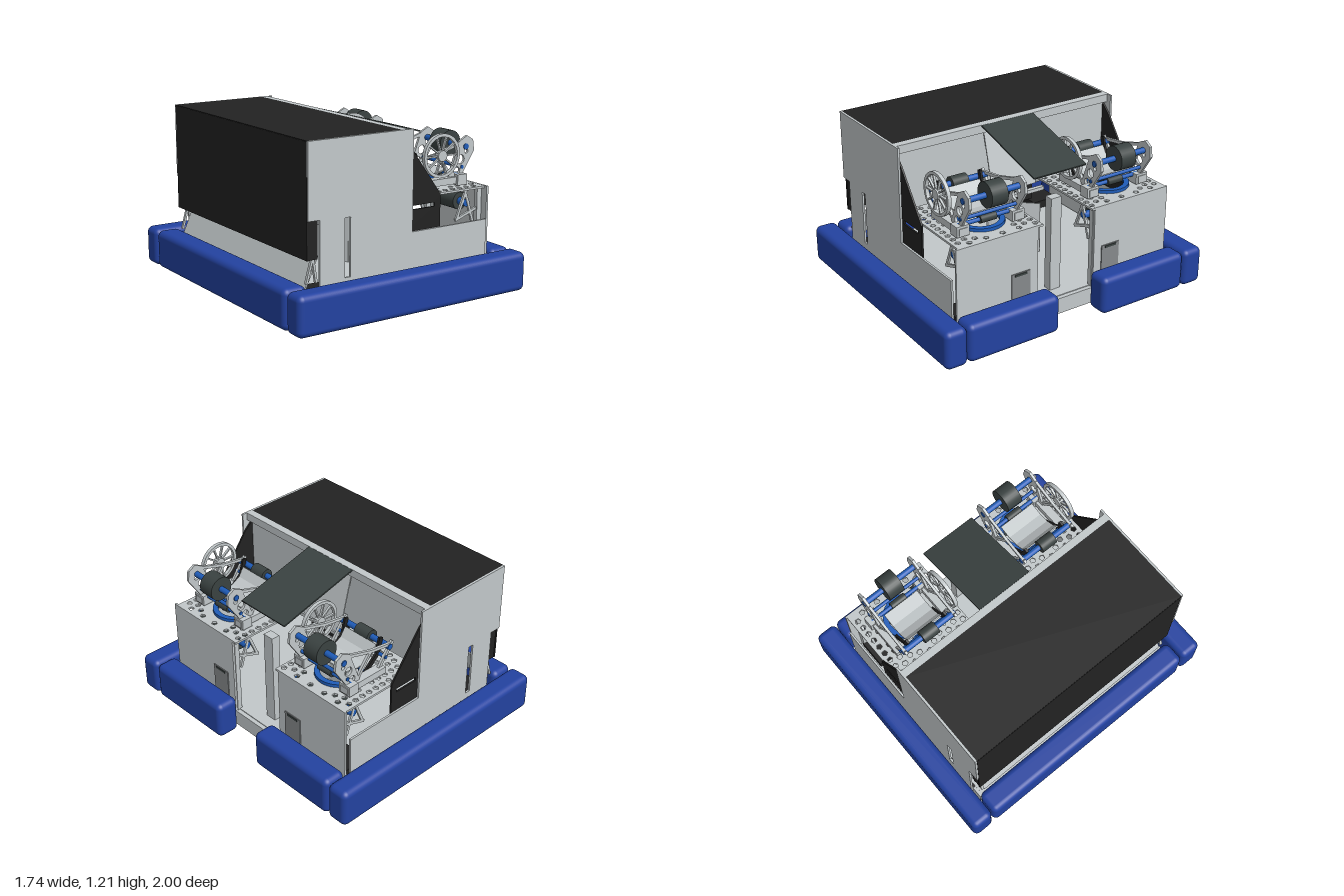
import * as THREE from 'three';
import { RoundedBoxGeometry } from 'three/addons/geometries/RoundedBoxGeometry.js';

const mat = (name, color, side = THREE.FrontSide) => {
  const m = new THREE.MeshStandardMaterial({ color, side });
  m.name = name;
  return m;
};

export function createModel() {
  const root = new THREE.Group();
  const blue = mat('bumper blue', 0x2342a0);
  const grey = mat('aluminium grey', 0xc2c8ca, THREE.DoubleSide);
  const black = mat('panel black', 0x222222, THREE.DoubleSide);
  const slate = mat('dark slate', 0x3a4241);
  const axleBlue = mat('axle blue', 0x1f5cb8);
  const windowGrey = mat('window grey', 0x85898b);

  const add = (name, geo, m, parent = root) => {
    const mesh = new THREE.Mesh(geo, m);
    mesh.name = name;
    parent.add(mesh);
    return mesh;
  };
  const box = (name, m, x0, x1, y0, y1, z0, z1, parent = root) =>
    add(name, new THREE.BoxGeometry(x1 - x0, y1 - y0, z1 - z0), m, parent)
      .position.set((x0 + x1) / 2, (y0 + y1) / 2, (z0 + z1) / 2);
  const bar = (name, m, a, b, w, z0, z1, parent = root) => {
    const dx = b[0] - a[0], dy = b[1] - a[1];
    const mesh = add(name, new THREE.BoxGeometry(Math.hypot(dx, dy), w, z1 - z0), m, parent);
    mesh.position.set((a[0] + b[0]) / 2, (a[1] + b[1]) / 2, (z0 + z1) / 2);
    mesh.rotation.z = Math.atan2(dy, dx);
  };
  const rod = (name, m, x, y, z, r, len, parent = root, seg = 28) => {
    const mesh = add(name, new THREE.CylinderGeometry(r, r, len, seg), m, parent);
    mesh.rotation.x = Math.PI / 2;
    mesh.position.set(x, y, z);
  };
  const poly = (pts) => new THREE.Shape(pts.map((p) => new THREE.Vector2(...p)));
  const circle = (x, y, r) => new THREE.Path().absarc(x, y, r, 0, Math.PI * 2, true);
  const slot = (x0, x1, y0, y1) => new THREE.Path(
    [[x0, y0], [x0, y1], [x1, y1], [x1, y0]].map((p) => new THREE.Vector2(...p)));
  // flat plate in the x-y plane, centred on z
  const plate = (name, m, shape, holes, z, t, parent = root) => {
    shape.holes.push(...holes);
    const geo = new THREE.ExtrudeGeometry(shape, { depth: t, bevelEnabled: false, curveSegments: 20 });
    const mesh = add(name, geo, m, parent);
    mesh.position.z = z - t / 2;
    return mesh;
  };

  // bumpers
  const bumper = (name, x0, x1, z0, z1) =>
    add(name, new RoundedBoxGeometry(x1 - x0, 0.26, z1 - z0, 4, 0.04), blue)
      .position.set((x0 + x1) / 2, 0.215, (z0 + z1) / 2);
  bumper('frontBumper', -0.87, 0.87, 0.845, 1);
  bumper('backBumper', -0.87, 0.87, -1, -0.845);
  bumper('rearBumper', -0.87, -0.705, -0.835, 0.835);
  bumper('intakeBumperLeft', 0.71, 0.87, 0.17, 0.84);
  bumper('intakeBumperRight', 0.71, 0.87, -0.84, -0.17);

  // chassis frame and floor
  box('floor', grey, -0.66, 0.66, 0.19, 0.205, -0.8, 0.8);
  box('rearRail', grey, -0.7, -0.62, 0.09, 0.2, -0.82, 0.82);
  box('intakeRail', grey, 0.63, 0.69, 0.09, 0.2, -0.82, 0.82);
  for (const z of [-0.25, 0.25]) box('crossBeam', grey, -0.62, 0.63, 0.09, 0.19, z - 0.04, z + 0.04);

  // wheel modules
  for (const x of [-0.56, 0.55]) for (const z of [-0.67, 0.67]) {
    const g = new THREE.Group();
    g.name = 'wheelModule';
    g.position.set(x, 0.1, z);
    root.add(g);
    plate('tyre', black, new THREE.Shape().absarc(0, 0, 0.1, 0, Math.PI * 2), [circle(0, 0, 0.065)], 0, 0.08, g);
    for (let i = 0; i < 3; i++) {
      const a = i * Math.PI / 3, c = [0.07 * Math.cos(a), 0.07 * Math.sin(a)];
      bar('spoke', black, c, [-c[0], -c[1]], 0.022, -0.02, 0.02, g);
    }
    rod('wheelHub', slate, 0, 0, 0, 0.03, 0.1, g);
    const s = Math.sign(x), t = Math.sign(z);
    const lo = (a, b) => [Math.min(a, b), Math.max(a, b)];
    box('modulePlateLong', black, ...lo(-s * 0.22, s * 0.08), -0.012, 0, ...lo(t * 0.08, t * 0.14), g);
    box('modulePlateShort', black, ...lo(s * 0.06, s * 0.1), -0.012, 0, ...lo(-t * 0.2, t * 0.14), g);
    box('moduleTop', black, -0.1, 0.1, 0.105, 0.16, -0.1, 0.1, g);
  }

  // hopper and side panels
  for (const s of [-1, 1]) {
    plate('hopperSide', grey, poly([[-0.7, 1.205], [0.065, 1.205], [0.065, 0.08], [-0.62, 0.08], [-0.62, 0.73], [-0.7, 0.73]]),
      [slot(-0.44, -0.4, 0.35, 0.72)], s * 0.827, 0.014);
    box('lowerSide', grey, 0.065, 0.66, 0.08, 0.56, s * 0.827 - 0.007, s * 0.827 + 0.007);
    plate('wingPanel', black, poly([[-0.02, 1.16], [0.065, 1.08], [0.295, 0.77], [0.295, 0.54], [-0.02, 0.54]]),
      [slot(0.08, 0.25, 0.695, 0.72)], s * 0.81, 0.012);
    box('rearFlange', black, -0.7, -0.625, 0.49, 0.74, s * 0.81 - 0.006, s * 0.81 + 0.006);
    // slim lattice bracket at the rear corner
    bar('bracket', grey, [-0.69, 0.34], [-0.645, 0.5], 0.015, s * 0.79 - 0.01, s * 0.79 + 0.01);
    bar('bracket', grey, [-0.62, 0.34], [-0.645, 0.5], 0.015, s * 0.79 - 0.01, s * 0.79 + 0.01);
  }
  box('hopperTop', black, -0.7, -0.02, 1.193, 1.205, -0.82, 0.82);
  box('hopperRear', black, -0.702, -0.69, 0.49, 1.2, -0.82, 0.82);
  box('topBeam', grey, -0.02, 0.03, 1.15, 1.205, -0.82, 0.82);
  box('innerWall', grey, -0.012, 0, 0.73, 1.16, -0.81, 0.81);
  box('feedGap', black, -0.012, 0, 0.57, 0.73, -0.22, 0.22);
  box('feedBar', grey, 0, 0.03, 0.625, 0.65, -0.3, 0.3);
  bar('feedSheet', grey, [0.005, 1.15], [0.11, 0.74], 0.008, -0.17, 0.17);
  bar('rearRamp', grey, [-0.69, 0.3], [-0.6, 0.5], 0.01, -0.78, 0.78);
  // faceted guide below the feed opening
  [[-0.22, -0.11, 0.1, 0], [-0.11, 0.04, 0, 0], [0.04, 0.15, 0, 0.06], [0.15, 0.22, 0.06, 0.12]].forEach(([z0, z1, x0, x1]) => {
    const m = add('feedGuide', new THREE.BoxGeometry(0.008, 0.37, Math.hypot(z1 - z0, x1 - x0)), grey);
    m.position.set((x0 + x1) / 2, 0.385, (z0 + z1) / 2);
    m.rotation.y = Math.atan2(x1 - x0, z1 - z0);
  });

  // sloping cover and centre post
  bar('slopingCover', slate, [0.03, 1.2], [0.61, 1.045], 0.01, -0.2, 0.2);
  box('centrePost', grey, 0.515, 0.575, 0.2, 0.855, -0.04, 0.04);

  // towers with their turrets
  for (const s of [-1, 1]) {
    const g = new THREE.Group();
    g.name = s > 0 ? 'leftTower' : 'rightTower';
    g.position.z = s * 0.49;
    root.add(g);
    box('towerFace', grey, 0.675, 0.69, 0.1, 0.77, s > 0 ? -0.27 : -0.325, s > 0 ? 0.325 : 0.27, g);
    const wz = -s * 0.14;
    box('towerWindow', windowGrey, 0.69, 0.696, 0.3, 0.485, wz - 0.07, wz + 0.07, g);
    box('windowClip', slate, 0.696, 0.7, 0.465, 0.48, wz - 0.045, wz + 0.045, g);
    for (const z of [-0.26, 0.26]) {
      box('cornerPost', grey, 0.64, 0.675, 0.2, 0.76, z - 0.015, z + 0.015, g);
      bar('brace', grey, [0.48, 0.56], [0.56, 0.76], 0.018, z - 0.008, z + 0.008, g);
      bar('brace', grey, [0.62, 0.52], [0.54, 0.76], 0.018, z - 0.008, z + 0.008, g);
      bar('brace', grey, [0.47, 0.56], [0.64, 0.62], 0.018, z - 0.008, z + 0.008, g);
    }
    rod('feedRoller', slate, 0.56, 0.665, 0, 0.058, 0.4, g);
    rod('feedAxle', axleBlue, 0.56, 0.665, 0, 0.025, 0.53, g);

    // lattice top plate, drawn flat and laid down
    const holes = [circle(0.42, 0, 0.145)];
    for (let i = 0; i < 11; i++) for (let j = 0; j < 10; j++) {
      const x = 0.075 + i * 0.057 + (j % 2) * 0.024, z = -0.27 + j * 0.06;
      if (x > 0.665 || Math.hypot(x - 0.42, z) < 0.215) continue;
      const h = new THREE.Path();
      for (let k = 0; k <= 5; k++) {
        const a = -k * Math.PI * 0.4 + i + j * 2;
        h[k ? 'lineTo' : 'moveTo'](x + 0.02 * Math.cos(a), z + 0.02 * Math.sin(a));
      }
      holes.push(h);
    }
    const top = plate('towerTop', grey, poly([[0.04, -0.3], [0.69, -0.3], [0.69, 0.31], [0.04, 0.31]]), holes, 0, 0.014, g);
    top.rotation.x = -Math.PI / 2;
    top.scale.y = -s;
    top.position.y = 0.755;

    // turret ring and bed
    const ring = plate('turretRing', axleBlue, new THREE.Shape().absarc(0.435, 0, 0.155, 0, Math.PI * 2), [circle(0.435, 0, 0.12)], 0, 0.022, g);
    ring.rotation.x = -Math.PI / 2;
    ring.position.y = 0.769;
    for (const z of [-0.2, 0.2]) {
      box('turretBed', grey, 0.25, 0.58, 0.79, 0.835, z - 0.03, z + 0.03, g);
      box('turretFoot', grey, 0.5, 0.575, 0.78, 0.85, z - 0.045, z + 0.045, g);
    }
    // launcher side plates
    for (const z of [-0.2, 0.2]) {
      plate('launcherArm', grey, poly([[0.45, 0.82], [0.55, 0.82], [0.66, 0.99], [0.65, 1.06], [0.6, 1.09], [0.54, 1.06]]),
        [circle(0.52, 0.87, 0.025), circle(0.55, 0.94, 0.03), circle(0.595, 0.99, 0.015)], z, 0.018, g);
      bar('launcherStrut', grey, [0.29, 0.82], [0.17, 0.98], 0.022, z - 0.009, z + 0.009, g);
      bar('launcherStrut', grey, [0.17, 0.96], [0.36, 0.99], 0.02, z - 0.009, z + 0.009, g);
      bar('launcherStrut', grey, [0.36, 0.99], [0.56, 1.05], 0.02, z - 0.009, z + 0.009, g);
      bar('launcherStrut', grey, [0.36, 0.99], [0.48, 0.83], 0.02, z - 0.009, z + 0.009, g);
    }
    for (const z of [-0.15, 0.15]) {
      bar('guideFin', black, [0.22, 1.0], [0.25, 0.88], 0.03, z - 0.008, z + 0.008, g);
      bar('guideFin', black, [0.25, 0.89], [0.36, 0.79], 0.03, z - 0.008, z + 0.008, g);
    }
    // spoked hood wheel
    plate('hoodWheelRim', grey, new THREE.Shape().absarc(0.36, 0.99, 0.142, 0, Math.PI * 2), [circle(0.36, 0.99, 0.122)], 0.245, 0.025, g);
    rod('hoodWheelHub', grey, 0.36, 0.99, 0.245, 0.035, 0.035, g);
    for (let i = 0; i < 10; i++) {
      const a = i * Math.PI / 5;
      bar('hoodSpoke', grey, [0.36, 0.99], [0.36 + 0.13 * Math.cos(a), 0.99 + 0.13 * Math.sin(a)], 0.01, 0.237, 0.253, g);
    }
    // folded chute sheet
    const chute = [[0.24, 0.95], [0.28, 0.89], [0.34, 0.855], [0.41, 0.85], [0.5, 0.87]];
    for (let i = 0; i < 4; i++) bar('chuteSheet', grey, chute[i], chute[i + 1], 0.008, -0.135, 0.135, g);
    // rollers and axles
    rod('launchRoller', slate, 0.59, 1.02, -0.005, 0.083, 0.115, g);
    rod('backRoller', slate, 0.2, 0.95, 0, 0.045, 0.115, g);
    rod('lowerRoller', slate, 0.53, 0.837, 0, 0.027, 0.115, g);
    for (const [x, y, r] of [[0.59, 1.02, 0.02], [0.2, 0.95, 0.02], [0.235, 0.89, 0.012], [0.53, 0.837, 0.014], [0.56, 0.89, 0.012]])
      rod('axle', axleBlue, x, y, 0, r, 0.43, g, 16);
  }
  return root;
}
